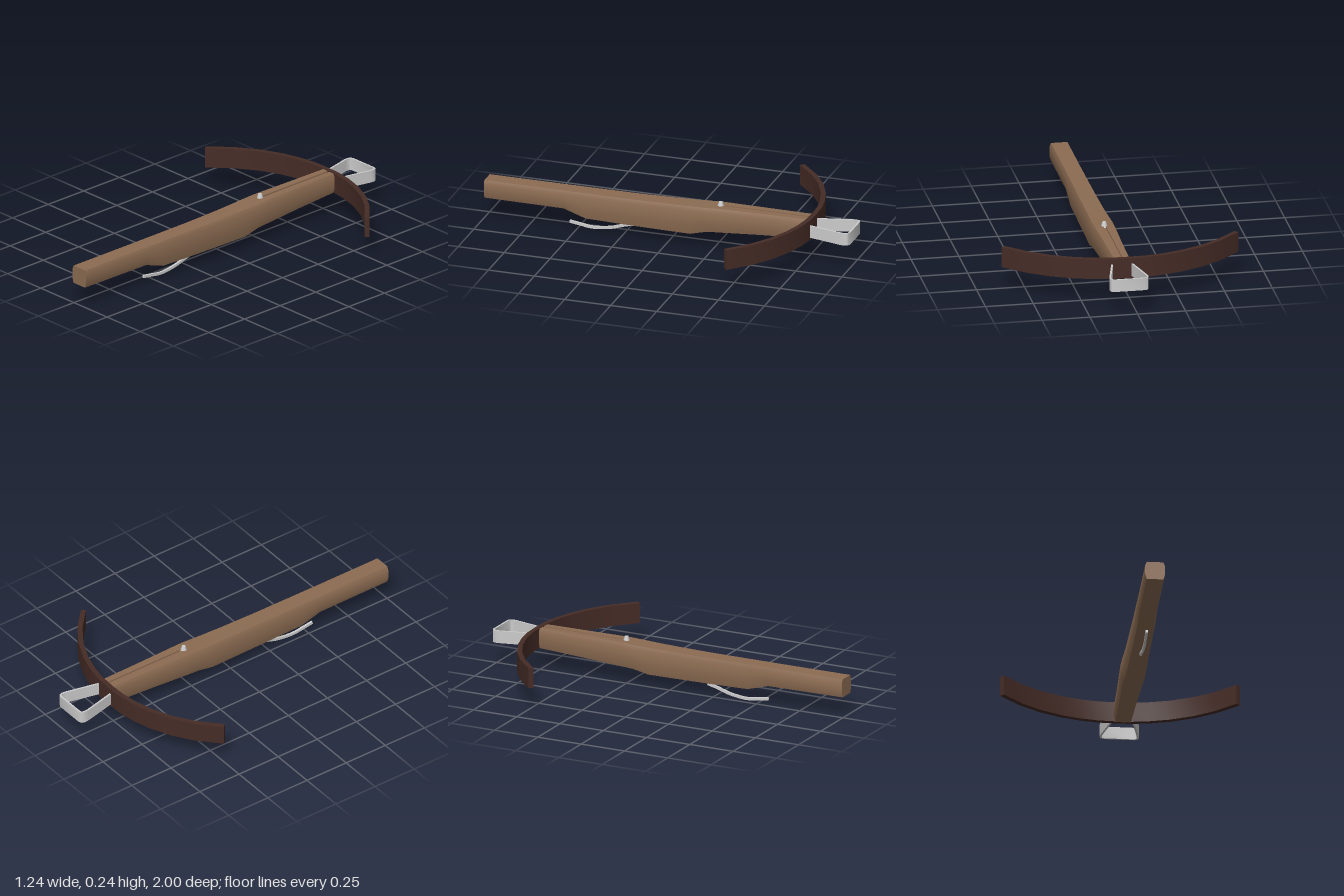
import * as THREE from 'three';
import { toCreasedNormals } from 'three/addons/utils/BufferGeometryUtils.js';

const CX = 0.04; // centre line of the stock
const wood = new THREE.MeshStandardMaterial({ color: 0x8c6c52 });
const darkWood = new THREE.MeshStandardMaterial({ color: 0x462c26 });
const metal = new THREE.MeshStandardMaterial({ color: 0xcccccc });

// Flat strip: a 2D path given a thickness, extruded by depth
function strip(points, thickness, depth) {
  const p = points.map(([x, y]) => new THREE.Vector2(x, y));
  const side = (s) => p.map((q, i) => {
    const a = p[Math.max(i - 1, 0)], b = p[Math.min(i + 1, p.length - 1)];
    const t = b.clone().sub(a).normalize();
    return new THREE.Vector2(q.x - t.y * s * thickness / 2, q.y + t.x * s * thickness / 2);
  });
  const shape = new THREE.Shape([...side(1), ...side(-1).reverse()]);
  const g = new THREE.ExtrudeGeometry(shape, { depth, bevelEnabled: false, steps: 1 });
  return toCreasedNormals(g, 0.6);
}

// Stock: lofted chamfered sections, with a shallow bolt groove towards the bow
function stockGeometry() {
  // z, half width, top, bottom, bottom slant, groove depth
  const stations = [
    [1.0, 0.051, 0.212, 0.115, 0, 0],
    [0.57, 0.051, 0.212, 0.112, 0, 0],
    [0.51, 0.052, 0.212, 0.095, 0.003, 0],
    [0.45, 0.052, 0.212, 0.078, 0.006, 0],
    [0.2, 0.054, 0.212, 0.074, 0.007, 0],
    [0.0, 0.056, 0.215, 0.073, 0.008, 0],
    [-0.12, 0.059, 0.218, 0.073, 0.008, 0],
    [-0.21, 0.062, 0.221, 0.092, 0.003, 0],
    [-0.265, 0.061, 0.224, 0.095, 0.002, 0],
    [-0.27, 0.061, 0.224, 0.095, 0.002, 0.008],
    [-0.5, 0.053, 0.225, 0.107, 0, 0.008],
    [-0.76, 0.048, 0.225, 0.12, 0, 0.008],
  ];
  const gw = 0.006;
  const rings = stations.map(([z, w, top, bot, slant, groove]) => {
    const h = top - bot;
    return [
      [-0.84 * w, bot], [0.84 * w, bot - slant],
      [w, bot + 0.28 * h], [w, top - 0.02], [0.84 * w, top],
      [gw, top], [gw, top - groove], [-gw, top - groove], [-gw, top],
      [-0.84 * w, top], [-w, top - 0.02], [-w, bot + 0.28 * h],
    ].map(([x, y]) => new THREE.Vector3(CX + x, y, z));
  });
  const n = rings[0].length, pos = [];
  const tri = (...v) => v.forEach((q) => pos.push(q.x, q.y, q.z));
  for (let i = 0; i < rings.length - 1; i++) {
    for (let j = 0; j < n; j++) {
      const k = (j + 1) % n, A = rings[i], B = rings[i + 1];
      tri(A[j], B[j], A[k]);
      tri(A[k], B[j], B[k]);
    }
  }
  // End caps
  const cap = (r, flip) => {
    const flat = r.map((q) => new THREE.Vector2(q.x, q.y));
    for (const [a, b, c] of THREE.ShapeUtils.triangulateShape(flat, [])) {
      if (flip) tri(r[a], r[c], r[b]);
      else tri(r[a], r[b], r[c]);
    }
  };
  cap(rings[0], false);
  cap(rings[rings.length - 1], true);
  const g = new THREE.BufferGeometry();
  g.setAttribute('position', new THREE.Float32BufferAttribute(pos, 3));
  return toCreasedNormals(g, 0.75);
}

export function createModel() {
  const model = new THREE.Group();
  const add = (name, geometry, material) => {
    const mesh = new THREE.Mesh(geometry, material);
    mesh.name = name;
    model.add(mesh);
    return mesh;
  };

  add('stock', stockGeometry(), wood);

  // Bow: curved band, one half mirrored to the other (x, -z)
  const half = [[0.09, 0.762], [0.18, 0.747], [0.28, 0.718], [0.395, 0.665], [0.5, 0.594], [0.61, 0.49]];
  const limb = [...half.map(([x, y]) => [-x, y]).reverse(), [0, 0.765], ...half];
  add('bow', strip(limb, 0.026, 0.108).rotateX(-Math.PI / 2).translate(0, 0.12, 0), darkWood);

  // Stirrup: flat metal loop ahead of the bow
  const leg = [[0.05, 0.765], [0.095, 0.955], [0.097, 0.975], [0.092, 0.989], [0.08, 0.995]];
  const loop = [
    ...leg.map(([x, y]) => [CX - x, y]),
    ...leg.map(([x, y]) => [CX + x, y]).reverse(),
  ];
  add('stirrup', strip(loop, 0.01, 0.066).rotateX(-Math.PI / 2).translate(0, 0.133, 0), metal);

  // Trigger lever: curved bar under the stock (z, y)
  const lever = new THREE.CatmullRomCurve3([
    [0.55, 0.028], [0.49, 0.019], [0.43, 0.011], [0.33, 0.022], [0.25, 0.046], [0.2, 0.058],
  ].map(([z, y]) => new THREE.Vector3(z, y, 0))).getPoints(14).map((q) => [q.x, q.y]);
  add('trigger', strip(lever, 0.014, 0.012).rotateY(-Math.PI / 2).translate(CX + 0.006, 0, 0), metal);

  // Nut that holds the string
  const nut = add('nut', new THREE.CylinderGeometry(0.01, 0.019, 0.03, 10), metal);
  nut.position.set(CX, 0.23, -0.27);

  return model;
}
